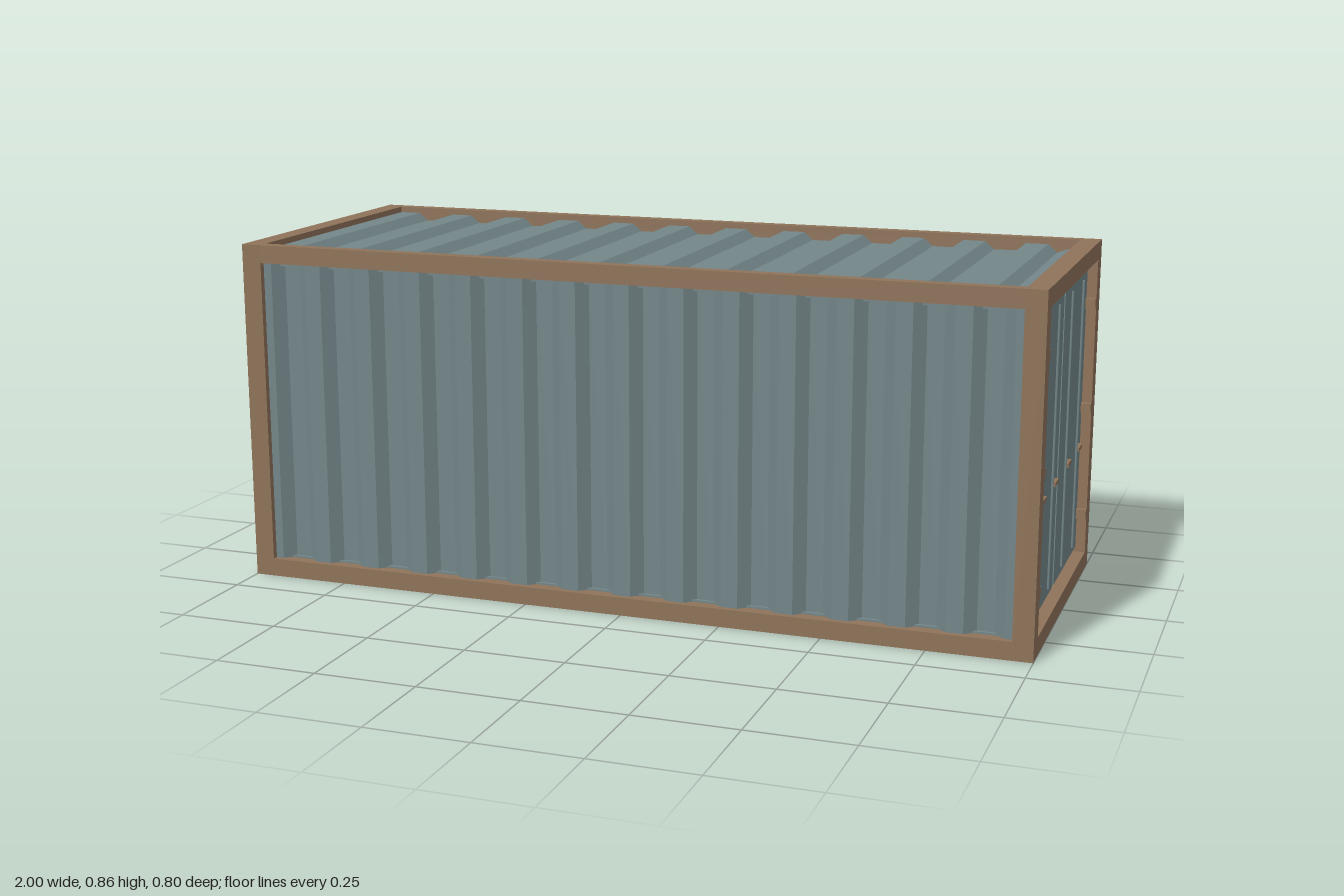
import * as THREE from 'three';

const H = 0.855;            // overall height
const POST = 0.05, RAIL = 0.03, BEAM = 0.045;

export function createModel() {
  const group = new THREE.Group();
  const brown = new THREE.MeshStandardMaterial({ color: 0x8f7359 });
  brown.name = 'frameBrown';
  const slate = new THREE.MeshStandardMaterial({ color: 0x738689 });
  slate.name = 'panelSlate';

  const add = (name, geometry, material, x = 0, y = 0, z = 0) => {
    const mesh = new THREE.Mesh(geometry, material);
    mesh.name = name;
    mesh.position.set(x, y, z);
    group.add(mesh);
    return mesh;
  };
  // Box given by its minimum and maximum corners
  const box = (name, material, x0, x1, y0, y1, z0, z1) =>
    add(name, new THREE.BoxGeometry(x1 - x0, y1 - y0, z1 - z0), material,
      (x0 + x1) / 2, (y0 + y1) / 2, (z0 + z1) / 2);

  // Corrugated sheet: trapezoid profile along x, flat underside, extruded by length
  const corrugated = (flats, firstFlat, flat, slope, high, low, base, length) => {
    const shape = new THREE.Shape();
    shape.moveTo(-0.95, base);
    shape.lineTo(-0.95, high);
    let x = -0.95 + firstFlat;
    for (let i = 0; i < flats - 1; i++) {
      shape.lineTo(x, i % 2 ? low : high);
      shape.lineTo(x + slope, i % 2 ? high : low);
      x += slope + flat;
    }
    shape.lineTo(0.95, high);
    shape.lineTo(0.95, base);
    const geometry = new THREE.ExtrudeGeometry(shape, { depth: length, bevelEnabled: false });
    geometry.translate(0, 0, -length / 2);
    return geometry;
  };

  // Frame: corner posts, long rails and end beams
  for (const s of [-1, 1]) {
    for (const t of [-1, 1]) {
      add('cornerPost', new THREE.BoxGeometry(POST, H, POST), brown,
        s * (1 - POST / 2), H / 2, t * (0.4 - POST / 2));
      add('longRail', new THREE.BoxGeometry(1.9, BEAM, RAIL), brown,
        0, H / 2 + s * (H - BEAM) / 2, t * (0.4 - RAIL / 2));
      add('endBeam', new THREE.BoxGeometry(POST, BEAM, 0.7), brown,
        s * (1 - POST / 2), H / 2 + t * (H - BEAM) / 2, 0);
    }
  }

  // Corrugated side walls
  const pitch = 1.9 / 28, wallSlope = 0.027, wallFlat = pitch - wallSlope;
  const wall = corrugated(29, wallFlat / 2, wallFlat, wallSlope, 0.385, 0.362, 0.345, H - 2 * BEAM);
  add('frontWall', wall, slate, 0, H / 2, 0).rotation.x = Math.PI / 2;
  add('backWall', wall, slate, 0, H / 2, 0).rotation.x = -Math.PI / 2;

  // Corrugated roof, floor and plain end wall
  const roofSlope = 0.024, roofFlat = (1.9 - 23 * roofSlope) / 24;
  add('roof', corrugated(24, roofFlat, roofFlat, roofSlope, 0.84, 0.82, 0.8, 0.74), slate);
  box('floor', slate, -0.95, 0.95, 0.022, 0.05, -0.37, 0.37);
  box('endWall', slate, -0.973, -0.95, BEAM, H - BEAM, -0.35, 0.35);

  // Door end: backing panel and two leaves
  box('doorBacking', slate, 0.95, 0.965, BEAM, H - BEAM, -0.35, 0.35);
  for (const s of [-1, 1]) {
    add('doorLeaf', new THREE.BoxGeometry(0.01, 0.74, 0.342), slate, 0.97, 0.428, s * 0.179);
    // Hinges on the posts
    for (const y of [0.15, 0.43, 0.7]) {
      add('hinge', new THREE.BoxGeometry(0.025, 0.025, 0.015), brown, 0.9875, y, s * 0.3425);
    }
  }

  // Locking rods with their handles
  for (const z of [0.267, 0.097, -0.095, -0.265]) {
    add('lockingRod', new THREE.CylinderGeometry(0.003, 0.003, 0.69, 8), slate, 0.979, 0.425, z);
    box('handle', brown, 0.976, 0.986, 0.333, 0.343, z - 0.05, z);
  }
  return group;
}
